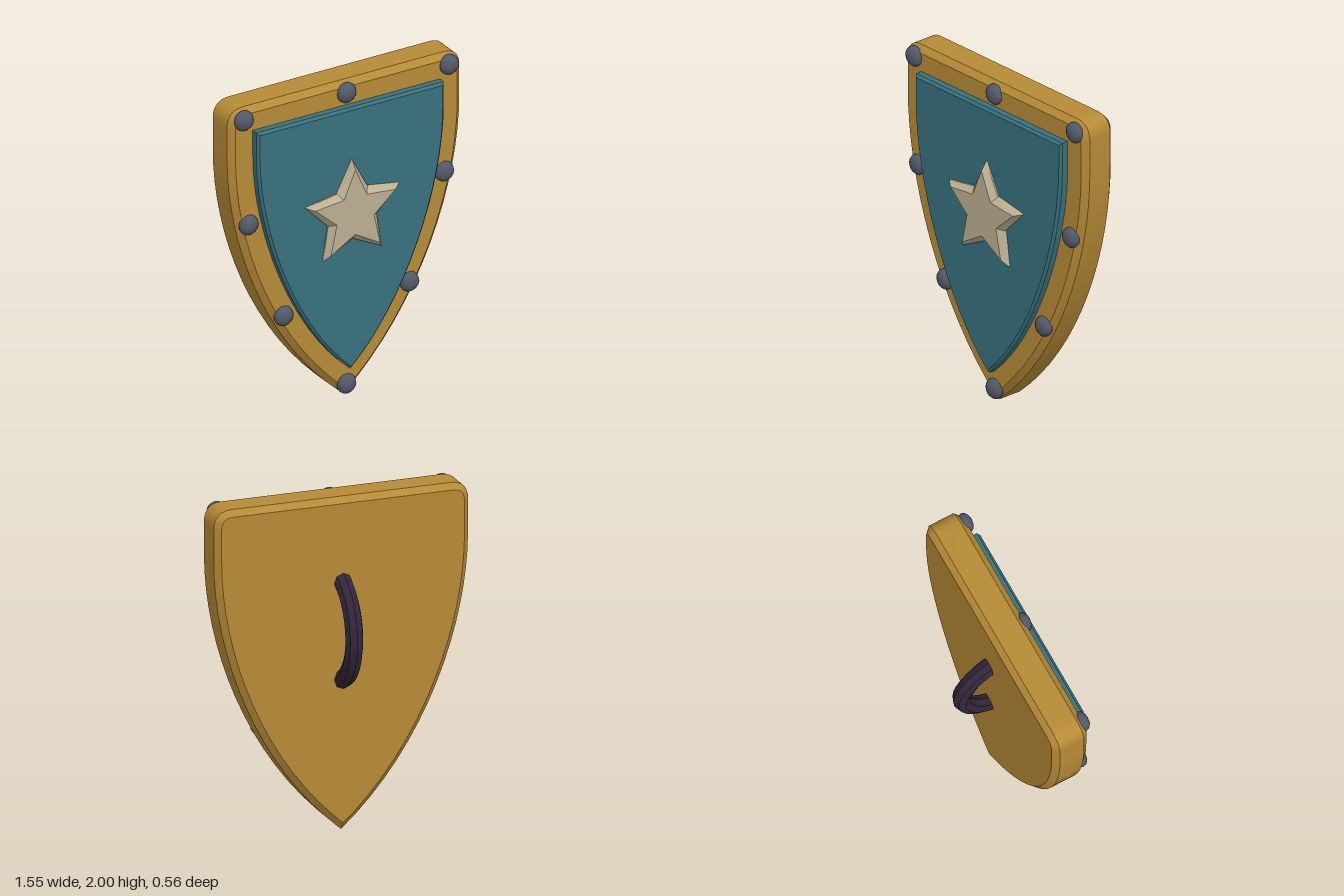
import * as THREE from 'three';
import { toCreasedNormals } from 'three/addons/utils/BufferGeometryUtils.js';

const CREASE = 0.6;

// Symmetric heater outline: flat top with rounded corners, curved sides, pointed foot
function heaterShape({ halfWidth: w, top, corner: r, shoulder, c1, c2, tip }) {
  const s = new THREE.Shape();
  s.moveTo(0, tip);
  s.bezierCurveTo(c2[0], c2[1], w, c1, w, shoulder);
  s.lineTo(w, top - r);
  if (r > 0) s.quadraticCurveTo(w, top, w - r, top);
  s.lineTo(-w + r, top);
  if (r > 0) s.quadraticCurveTo(-w, top, -w, top - r);
  s.lineTo(-w, shoulder);
  s.bezierCurveTo(-w, c1, -c2[0], c2[1], 0, tip);
  return s;
}

function starShape(cy, outer, inner) {
  const points = [];
  for (let i = 0; i < 10; i++) {
    const a = Math.PI / 2 + (i * Math.PI) / 5;
    const r = i % 2 ? inner : outer;
    points.push(new THREE.Vector2(r * Math.cos(a), cy + r * Math.sin(a)));
  }
  return new THREE.Shape(points);
}

// Chamfered slab between two depths
function slab(shape, back, front, bevel, bevelOffset) {
  const geo = new THREE.ExtrudeGeometry(shape, {
    depth: front - back - 2 * bevel,
    bevelEnabled: true,
    bevelSegments: 1,
    bevelSize: bevel,
    bevelThickness: bevel,
    bevelOffset,
    curveSegments: 16,
  });
  geo.translate(0, 0, back + bevel);
  return toCreasedNormals(geo, CREASE);
}

export function createModel() {
  const group = new THREE.Group();
  const material = (name, color) => {
    const m = new THREE.MeshStandardMaterial({ color });
    m.name = name;
    return m;
  };
  const gold = material('gold', 0xb68a36);
  const teal = material('teal', 0x38717d);
  const bone = material('bone', 0xbcaf91);
  const steel = material('steel', 0x515a6b);
  const leather = material('leather', 0x32263a);

  const add = (name, geo, mat) => {
    const mesh = new THREE.Mesh(geo, mat);
    mesh.name = name;
    group.add(mesh);
    return mesh;
  };

  // Thick gold body, which also forms the rim
  const body = heaterShape({
    halfWidth: 0.775, top: 2, corner: 0.11, shoulder: 1.7,
    c1: 1.15, c2: [0.52, 0.44], tip: 0,
  });
  add('body', slab(body, -0.045, 0.18, 0.035, -0.035), gold);

  // Raised front panel
  const panel = heaterShape({
    halfWidth: 0.625, top: 1.853, corner: 0, shoulder: 1.7,
    c1: 1.2, c2: [0.37, 0.52], tip: 0.19,
  });
  add('frontPanel', slab(panel, 0.12, 0.235, 0.015, -0.015), teal);

  // Star emblem
  add('star', slab(starShape(1.2, 0.28, 0.13), 0.2, 0.28, 0.035, 0), bone);

  // Domed rivets around the rim
  const rivetGeo = new THREE.SphereGeometry(0.062, 12, 8);
  const rivets = [[0, 1.93], [0, 0.08]];
  for (const side of [-1, 1]) {
    rivets.push([side * 0.685, 1.93], [side * 0.653, 1.26], [side * 0.42, 0.62]);
  }
  for (const [x, y] of rivets) {
    const rivet = add('rivet', rivetGeo, steel);
    rivet.position.set(x, y, 0.18);
    rivet.scale.z = 0.68;
  }

  // Curved grip on the back
  const grip = new THREE.TorusGeometry(0.325, 0.054, 8, 18, Math.PI);
  grip.rotateZ(Math.PI / 2);
  grip.rotateY(-Math.PI / 2);
  grip.translate(0, 1.2, 0.103);
  add('handle', toCreasedNormals(grip, CREASE), leather);

  return group;
}
